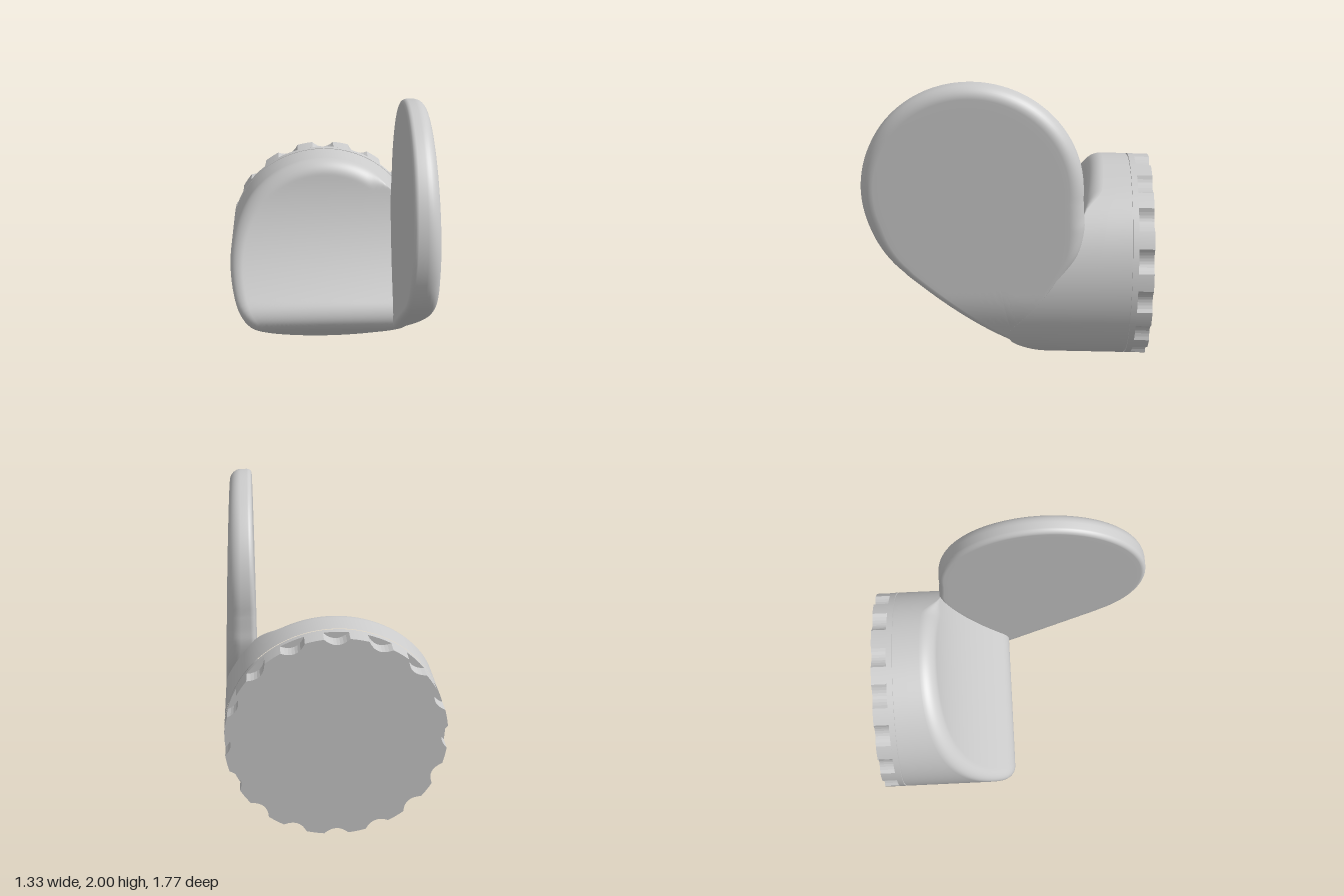
import * as THREE from 'three';

const R = 0.665;          // barrel radius, also the height of its axis
const INNER = 0.46;       // inner face of the paddle
const SEAM = -0.745;      // where barrel meets cap

const material = new THREE.MeshStandardMaterial({ color: 0xcccccc });

// Skin a list of closed loops (arrays of [x, y, z]) with smooth normals
function loft(loops) {
  const n = loops[0].length, index = [];
  for (let i = 0; i < loops.length - 1; i++) {
    for (let j = 0; j < n; j++) {
      const a = i * n + j, b = i * n + (j + 1) % n;
      index.push(a, a + n, b + n, a, b + n, b);
    }
  }
  const g = new THREE.BufferGeometry();
  g.setAttribute('position', new THREE.Float32BufferAttribute(loops.flat(2), 3));
  g.setIndex(index);
  g.computeVertexNormals();
  return g;
}

function addMesh(group, name, geometry) {
  const mesh = new THREE.Mesh(geometry, material);
  mesh.name = name;
  group.add(mesh);
  return mesh;
}

// Barrel front: sloping face blended into the slanted underside
function frontZ(y) {
  const face = -0.48 - 0.294 * (y - 1.25) + 0.426 * (y - 1.25) * (y - 1.08);
  const under = (y - 0.29) / 0.82;
  const k = 0.26, h = Math.max(k - Math.abs(face - under), 0) / k;
  return Math.min(face, under) - h * h * k / 4;
}

function barrelGeometry() {
  const SEG = 128, loops = [];
  const radii = [];
  for (let i = 0; i <= 30; i++) radii.push((R - 0.09) * i / 30);
  for (let i = 1; i <= 12; i++) radii.push(R - 0.09 + 0.09 * Math.sin(i / 12 * Math.PI / 2));
  for (const r of radii) {
    const loop = [];
    for (let j = 0; j < SEG; j++) {
      const t = j / SEG * Math.PI * 2;
      const x = r * Math.cos(t), y = R + r * Math.sin(t);
      // rounded rim, fading out beside the paddle and near the bottom
      const fade = 1 - THREE.MathUtils.smoothstep(x, 0.3, INNER);
      const f = (0.02 + 0.065 * THREE.MathUtils.smoothstep(y, 0.1, 0.4)) * fade + 1e-4;
      const e = Math.max(r - (R - f), 0);
      loop.push([x, y, frontZ(y) - f + Math.sqrt(Math.max(f * f - e * e, 0))]);
    }
    loops.push(loop);
  }
  // side wall back to the seam
  const rim = loops[loops.length - 1];
  for (const s of [0.02, 0.5, 1]) {
    loops.push(rim.map(([x, y, z]) => [x, y, THREE.MathUtils.lerp(z, SEAM, s)]));
  }
  return loft(loops);
}

// Paddle outer surface: follows the barrel low down, then leans inwards
function outerX(y) {
  return y < R ? Math.sqrt(R * R - (y - R) ** 2) - 0.001 : 0.664 - 0.05 * (y - R);
}

function paddleGeometry() {
  // outline in (z, y): round top, buried back edge, slanted underside
  const out = [], cz = 0.22, cy = 1.335, a0 = -0.884, a1 = Math.PI + 0.05;
  for (let i = 0; i <= 72; i++) {
    const a = a0 + (a1 - a0) * i / 72;
    out.push([cz + R * Math.cos(a), cy + R * Math.sin(a)]);
  }
  const back = new THREE.SplineCurve([
    [-0.445, 1.3], [-0.45, 1.2], [-0.455, 1.1], [-0.42, 0.95],
    [-0.33, 0.8], [-0.25, 0.65], [-0.2, 0.45], [-0.13, 0.26],
  ].map(p => new THREE.Vector2(...p)));
  back.getPoints(28).slice(1).forEach(p => out.push([p.x, p.y]));
  for (let i = 0; i < 24; i++) {
    const z = THREE.MathUtils.lerp(-0.035, 0.642, i / 24);
    out.push([z, 0.29 + 0.82 * z]);
  }
  const n = out.length;
  const inward = out.map((p, i) => {
    const a = out[(i + n - 1) % n], b = out[(i + 1) % n];
    const l = Math.hypot(b[0] - a[0], b[1] - a[1]);
    return [-(b[1] - a[1]) / l, (b[0] - a[0]) / l];
  });
  const inset = (i, d) => [out[i][0] + inward[i][0] * d, out[i][1] + inward[i][1] * d];
  const outerR = out.map(([, y]) => Math.min(
    0.05 + 0.045 * THREE.MathUtils.smoothstep(y, 0.7, 1.2), 0.5 * (outerX(y) - INNER)));

  const mz = 0.1, my = 1.0, ri = 0.03, loops = [];
  const ids = out.map((_, i) => i);
  // inner flat face and its small edge rounding
  for (const s of [0, 0.5, 0.95]) {
    loops.push(ids.map(i => {
      const [z, y] = inset(i, ri);
      return [INNER, my + (y - my) * s, mz + (z - mz) * s];
    }));
  }
  for (let k = 0; k <= 5; k++) {
    const a = k / 5 * Math.PI / 2;
    loops.push(ids.map(i => {
      const [z, y] = inset(i, ri * (1 - Math.sin(a)));
      return [INNER + ri * (1 - Math.cos(a)), y, z];
    }));
  }
  // larger outer rounding
  for (let k = 0; k <= 8; k++) {
    const a = k / 8 * Math.PI / 2;
    loops.push(ids.map(i => {
      const r = outerR[i], [z, y] = inset(i, r * (1 - Math.cos(a)));
      return [outerX(y) - r * (1 - Math.sin(a)), y, z];
    }));
  }
  // outer face closing on its middle
  for (let k = 1; k <= 14; k++) {
    const s = 1 - k / 14;
    loops.push(ids.map(i => {
      const [z, y] = inset(i, outerR[i]);
      const yy = my + (y - my) * s;
      return [outerX(yy), yy, mz + (z - mz) * s];
    }));
  }
  return loft(loops);
}

// Grip outline: circle with 16 shallow scallops
function gripGeometry(depth) {
  const shape = new THREE.Shape(), N = 16, half = 0.113;
  const step = Math.PI * 2 / N;
  shape.moveTo(R * Math.cos(half), R * Math.sin(half));
  for (let i = 0; i < N; i++) {
    const next = (i + 1) * step;
    shape.absarc(0, 0, R, i * step + half, next - half, false);
    const c = R - 0.075;
    shape.quadraticCurveTo(c * Math.cos(next), c * Math.sin(next),
      R * Math.cos(next + half), R * Math.sin(next + half));
  }
  return new THREE.ExtrudeGeometry(shape, { depth, bevelEnabled: false, curveSegments: 8 });
}

function disc(r, z0, z1) {
  const g = new THREE.CylinderGeometry(r, r, z1 - z0, 128);
  g.rotateX(Math.PI / 2);
  return g.translate(0, R, (z0 + z1) / 2);
}

export function createModel() {
  const group = new THREE.Group();
  group.name = 'paddledBarrel';
  addMesh(group, 'barrel', barrelGeometry());
  addMesh(group, 'sidePaddle', paddleGeometry());

  // Rear cap: seam groove, plain collar, scalloped grip
  const cap = new THREE.Group();
  cap.name = 'rearCap';
  group.add(cap);
  addMesh(cap, 'seamGroove', disc(R - 0.012, SEAM - 0.012, SEAM + 0.005));
  addMesh(cap, 'collar', disc(R, -0.79, SEAM - 0.008));
  addMesh(cap, 'scallopedGrip', gripGeometry(0.095)).position.set(0, R, -0.885);
  return group;
}
